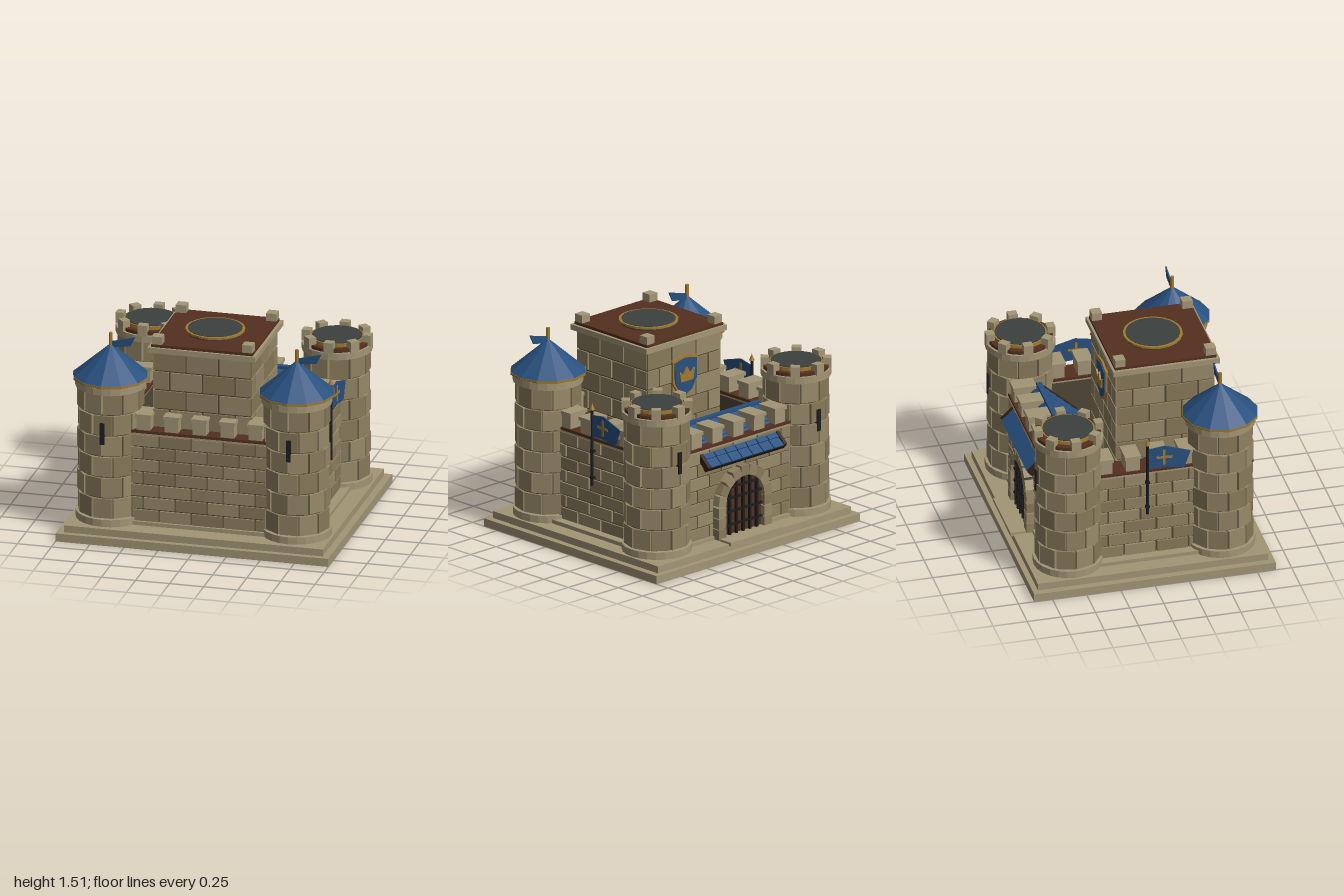
import * as THREE from 'three';
import { mergeGeometries } from 'three/addons/utils/BufferGeometryUtils.js';

const mat = (color) => new THREE.MeshStandardMaterial({ color, flatShading: true, side: THREE.DoubleSide });
const TRIM = mat(0xa39676), MORTAR = mat(0x4f4636), BROWN = mat(0x54301f), DARK = mat(0x3c403f);
const BLUE = mat(0x28507f), GOLD = mat(0xa0792f), IRON = mat(0x1e1d1f), FLOOR = mat(0x6b624f), BEAM = mat(0x33201a);
const STONES = [mat(0x8f8162), mat(0x988a69), mat(0x877959)];

function add(parent, name, geo, material, x = 0, y = 0, z = 0) {
  const m = new THREE.Mesh(geo, material);
  m.name = name;
  m.position.set(x, y, z);
  parent.add(m);
  return m;
}
function group(parent, name, x = 0, y = 0, z = 0, ry = 0) {
  const g = new THREE.Group();
  g.name = name;
  g.position.set(x, y, z);
  g.rotation.y = ry;
  parent.add(g);
  return g;
}
const box = (w, h, d) => new THREE.BoxGeometry(w, h, d);
const cyl = (rt, rb, h, n = 24) => new THREE.CylinderGeometry(rt, rb, h, n);
// box spanning y0..y1
const slab = (p, name, m, w, d, y0, y1, x = 0, z = 0) => add(p, name, box(w, y1 - y0, d), m, x, (y0 + y1) / 2, z);
const drum = (p, name, m, r, y0, y1, n = 24, x = 0, z = 0) => add(p, name, cyl(r, r, y1 - y0, n), m, x, (y0 + y1) / 2, z);
// flat outline with a little thickness, centred on z = 0
function plate(points, depth) {
  const s = new THREE.Shape(points.map(([x, y]) => new THREE.Vector2(x, y)));
  return new THREE.ExtrudeGeometry(s, { depth, bevelEnabled: false }).translate(0, 0, -depth / 2);
}
// merges blocks into one mesh per stone shade
function stones(parent, name, geos) {
  STONES.forEach((m, i) => {
    const set = geos.filter((g, k) => (k * 7 + (k >> 2)) % 3 === i);
    if (set.length) add(parent, name, mergeGeometries(set), m);
  });
}
// running-bond brickwork on a face towards local +z
function brickFace(parent, name, length, y0, y1, rows, brickW) {
  const geos = [], h = (y1 - y0) / rows, gap = 0.012, L = length / 2;
  for (let r = 0; r < rows; r++) {
    for (let x = -L - (r % 2 ? brickW / 2 : 0); x < L - 0.01; x += brickW) {
      const a = Math.max(x, -L), b = Math.min(x + brickW, L);
      if (b - a < 0.03) continue;
      geos.push(box(b - a - gap, h - gap, 0.03).translate((a + b) / 2, y0 + (r + 0.5) * h, 0));
    }
  }
  stones(parent, name, geos);
}

// curtain wall with walkway and merlons, outside towards local +z
function wall(parent, name, x, z, ry, length, foot, merlons) {
  const g = group(parent, name, x, 0, z, ry);
  slab(g, 'wallCore', MORTAR, length, 0.14, 0.1, 0.8);
  slab(g, 'wallFoot', TRIM, length, 0.14 + foot, 0.11, 0.14, 0, foot / 2);
  brickFace(g, 'wallBricks', length, 0.135, 0.795, 7, 0.235);
  g.children.filter((c) => c.name === 'wallBricks').forEach((c) => { c.position.z = 0.07; });
  slab(g, 'wallCornice', TRIM, length, 0.165, 0.79, 0.805);
  slab(g, 'walkway', BROWN, length, 0.175, 0.805, 0.825);
  for (const m of merlons) {
    slab(g, 'merlon', TRIM, 0.1, 0.15, 0.825, 0.925, m);
    slab(g, 'merlonCap', TRIM, 0.118, 0.17, 0.92, 0.945, m);
  }
}

function tower(parent, x, z) {
  const g = group(parent, z > 0 ? 'roofedTower' : 'openTower', x, 0, z);
  drum(g, 'towerFoot', TRIM, 0.25, 0.11, 0.165);
  drum(g, 'towerCore', MORTAR, 0.214, 0.16, 1.16);
  // stone courses
  const geos = [], rows = 6, n = 10, h = 0.94 / rows;
  for (let r = 0; r < rows; r++) for (let i = 0; i < n; i++) {
    const a = ((i + (r % 2) / 2) / n) * Math.PI * 2;
    geos.push(box(0.134, h - 0.012, 0.035).translate(0, 0.165 + (r + 0.5) * h, 0.211).rotateY(a));
  }
  stones(g, 'towerStones', geos);
  drum(g, 'towerCollar', TRIM, 0.252, 1.105, 1.155);
  slab(g, 'arrowSlit', IRON, 0.034, 0.03, 0.73, 0.89, 0, Math.sign(z) * 0.226);
  if (z > 0) {
    // pointed roof with pennant
    drum(g, 'roofRim', GOLD, 0.275, 1.163, 1.18, 12);
    add(g, 'coneRoof', new THREE.ConeGeometry(0.272, 0.235, 12), BLUE, 0, 1.297, 0);
    drum(g, 'roofPole', GOLD, 0.014, 1.38, 1.495, 8);
    add(g, 'pennant', plate([[0.01, 1.382], [0.145, 1.405], [0.18, 1.475], [0.01, 1.43]], 0.01), BLUE);
  } else {
    // open top with battlements
    drum(g, 'towerDeck', BROWN, 0.235, 1.15, 1.18);
    drum(g, 'deckRing', GOLD, 0.192, 1.18, 1.205);
    drum(g, 'deckDisc', DARK, 0.18, 1.18, 1.21);
    for (let i = 0; i < 8; i++) {
      const m = group(g, 'towerMerlon', 0, 0, 0, (i * Math.PI) / 4);
      slab(m, 'merlonBlock', TRIM, 0.068, 0.06, 1.15, 1.232, 0, 0.222);
    }
  }
}

function keep(parent) {
  const g = group(parent, 'keep', 0, 0, 0.24);
  slab(g, 'keepCore', MORTAR, 0.7, 0.7, 0.1, 1.4);
  for (let i = 0; i < 4; i++) {
    const side = group(g, 'keepSide', 0, 0, 0, (i * Math.PI) / 2);
    const face = group(side, 'keepFace', 0, 0, 0.347);
    brickFace(face, 'keepBricks', 0.72, 0.115, 1.395, 9, 0.24);
  }
  slab(g, 'keepCornice', TRIM, 0.79, 0.78, 1.395, 1.435);
  slab(g, 'keepRoof', BROWN, 0.745, 0.745, 1.435, 1.455);
  drum(g, 'roofDiscBase', DARK, 0.205, 1.455, 1.47, 20);
  drum(g, 'roofDiscRing', GOLD, 0.213, 1.467, 1.482, 20);
  drum(g, 'roofDisc', DARK, 0.195, 1.47, 1.485, 20);
  for (const x of [-1, 1]) for (const z of [-1, 1]) slab(g, 'cornerPost', TRIM, 0.075, 0.075, 1.44, 1.513, x * 0.332, z * 0.332);

  // shield on the rear face
  const s = group(g, 'shield', 0, 1.145, -0.365, Math.PI);
  const outline = (k) => [[-0.125, 0.13], [0, 0.155], [0.125, 0.13], [0.12, -0.04], [0.07, -0.12], [0, -0.16], [-0.07, -0.12], [-0.12, -0.04]].map(([x, y]) => [x * k, y * k]);
  add(s, 'shieldRim', plate(outline(1), 0.025), GOLD);
  add(s, 'shieldField', plate(outline(0.87), 0.02), BLUE, 0, 0, 0.01);
  add(s, 'crown', plate([[-0.06, -0.045], [0.06, -0.045], [0.075, 0.04], [0.035, 0.005], [0, 0.06], [-0.035, 0.005], [-0.075, 0.04]], 0.02), GOLD, 0, 0.01, 0.023);
}

function gate(parent) {
  const g = group(parent, 'gate', 0, 0, -0.7, Math.PI);
  const r = 0.19, spring = 0.36;
  const arch = [[r, 0.115]];
  for (let i = 0; i <= 14; i++) arch.push([r * Math.cos((i * Math.PI) / 14), spring + r * Math.sin((i * Math.PI) / 14)]);
  arch.push([-r, 0.115]);
  add(g, 'gateDoor', plate(arch, 0.03), BROWN);
  // portcullis
  for (let i = -2; i <= 2; i++) {
    const x = i * 0.066, top = spring + Math.sqrt(r * r - x * x);
    slab(g, 'gateBar', IRON, 0.018, 0.02, 0.12, top, x, 0.027);
  }
  for (const y of [0.2, 0.3, 0.4, 0.48]) {
    const w = y > spring ? Math.sqrt(r * r - (y - spring) ** 2) : r;
    slab(g, 'gateCrossBar', IRON, 2 * w, 0.016, y - 0.008, y + 0.008, 0, 0.025);
  }
  // arch stones and jambs
  const geos = [];
  for (let i = 0; i < 9; i++) geos.push(box(0.075, 0.073, 0.06).translate(0.224, 0, 0).rotateZ(((i + 0.5) * Math.PI) / 9).translate(0, spring, 0.022));
  for (const s of [-1, 1]) for (let i = 0; i < 3; i++) geos.push(box(0.075, 0.074, 0.06).translate(s * 0.224, 0.156 + i * 0.081, 0.022));
  stones(g, 'archStones', geos);
  slab(g, 'gateStep', TRIM, 0.5, 0.16, 0.1, 0.128, 0, 0.085);
}

// tiled saddle roof straddling the gate wall
function gateRoof(parent) {
  const g = group(parent, 'gateRoof', 0, 0.935, -0.497);
  const len = 0.365, rows = 5, cols = 7, tw = 0.72 / cols, tl = len / rows;
  for (const ry of [0, Math.PI]) {
    const slope = group(group(g, 'roofSide', 0, 0, 0, ry), 'roofSlope');
    slope.rotation.x = 0.74;
    add(slope, 'roofBoard', box(0.75, 0.02, len), BEAM, 0, -0.014, len / 2);
    add(slope, 'eaveBeam', box(0.775, 0.04, 0.025), BEAM, 0, -0.018, len - 0.01);
    for (const s of [-1, 1]) add(slope, 'bargeBoard', box(0.026, 0.045, len), BEAM, s * 0.375, -0.008, len / 2);
    const tiles = [];
    for (let i = 0; i < rows; i++) for (let j = 0; j < cols; j++)
      tiles.push(box(tw - 0.008, 0.014, tl + 0.008).rotateX(-0.1).translate((j - (cols - 1) / 2) * tw, 0.004, (i + 0.5) * tl));
    add(slope, 'roofTiles', mergeGeometries(tiles), BLUE);
  }
  add(g, 'ridgeCap', box(0.75, 0.022, 0.04), BLUE, 0, 0.012, 0);
}

// banner on a pole, flying towards local +x, outside towards local +z
function banner(parent, side) {
  const g = group(parent, 'banner', side * 0.785, 0, 0, (side * Math.PI) / 2);
  drum(g, 'bannerPole', IRON, 0.01, 0.47, 1.05, 8);
  add(g, 'poleTip', new THREE.ConeGeometry(0.02, 0.05, 8), GOLD, 0, 1.065, 0);
  const cloth = group(g, 'bannerCloth');
  cloth.rotation.y = -0.07;
  add(cloth, 'cloth', plate([[0, 0.84], [0.1, 0.85], [0.265, 0.83], [0.31, 0.963], [0.125, 1.02], [0, 1.0]], 0.008), BLUE);
  add(cloth, 'crossUpright', box(0.018, 0.12, 0.016), GOLD, 0.12, 0.93, 0);
  add(cloth, 'crossArm', box(0.115, 0.018, 0.016), GOLD, 0.12, 0.93, 0);
  for (const y of [0.52, 0.72]) slab(g, 'poleBracket', IRON, 0.03, 0.04, y, y + 0.02, 0, -0.012);
}

export function createModel() {
  const root = new THREE.Group();
  root.name = 'castle';
  // stepped base and courtyard
  slab(root, 'baseLower', TRIM, 2, 1.77, 0, 0.06);
  slab(root, 'baseUpper', TRIM, 1.9, 1.69, 0.06, 0.112);
  slab(root, 'courtyard', FLOOR, 1.3, 1.1, 0.1, 0.125);

  const across = [-0.41, -0.205, 0, 0.205, 0.41], along = [-0.3, -0.1, 0.1, 0.3];
  wall(root, 'frontWall', 0, 0.605, 0, 1.06, 0.03, across);
  wall(root, 'backWall', 0, -0.605, Math.PI, 1.06, 0.03, across);
  for (const s of [-1, 1]) {
    wall(root, 'sideWall', s * 0.683, 0, (s * Math.PI) / 2, 0.8, 0.08, along);
    banner(root, s);
    for (const t of [-1, 1]) tower(root, s * 0.683, t * 0.557);
  }
  keep(root);
  gate(root);
  gateRoof(root);
  return root;
}
